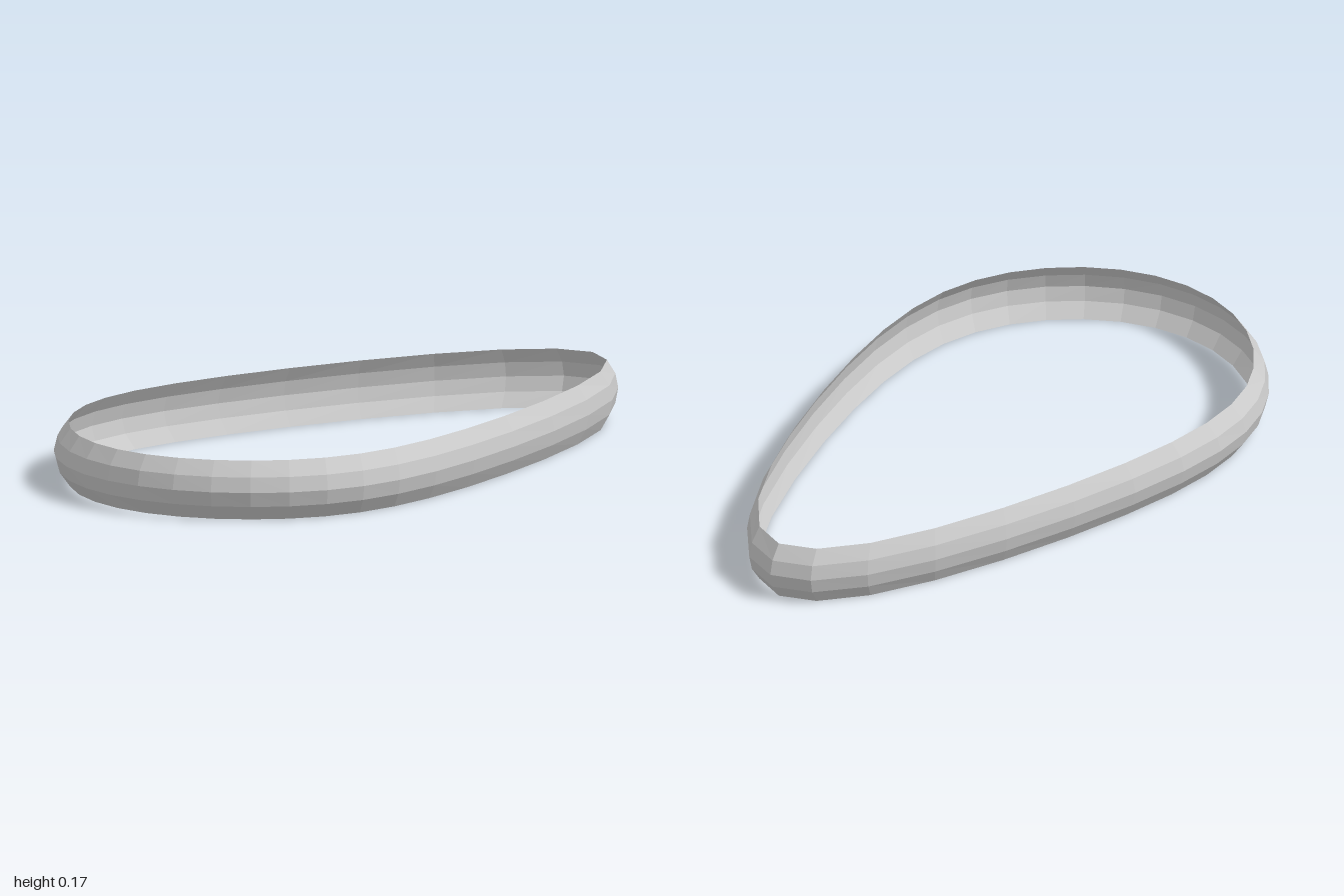
import * as THREE from 'three';

const HEIGHT = 0.175, BULGE = 0.04, HALF_WIDTH = 0.583;

// Egg outline along z: blunt end at +z, pointed end at -z
const eggZ = (a) =>
  0.935 * Math.cos(a) + 0.065 * Math.cos(3 * a) +
  0.38 * Math.sin(a) ** 2 + 0.0075 * (1 - Math.cos(4 * a));

export function createModel() {
  const group = new THREE.Group();
  group.name = 'eggShapedBand';

  // Bowed band profile in four rows, open on the inside
  const profile = [];
  for (let i = 0; i <= 4; i++) {
    const v = i / 4;
    profile.push(new THREE.Vector2(1 - BULGE * (2 * v - 1) ** 2, v * HEIGHT));
  }

  // Revolve into a round hoop, then reshape the circle into the egg outline
  const geometry = new THREE.LatheGeometry(profile, 32);
  const p = geometry.attributes.position;
  for (let i = 0; i < p.count; i++) {
    const angle = Math.atan2(p.getX(i), p.getZ(i));
    const inset = 1 - Math.hypot(p.getX(i), p.getZ(i));
    p.setX(i, (HALF_WIDTH - inset) * Math.sin(angle));
    p.setZ(i, eggZ(angle) * (1 - inset));
  }
  geometry.computeVertexNormals();

  const band = new THREE.Mesh(geometry, new THREE.MeshStandardMaterial({
    color: 0xcccccc, flatShading: true, side: THREE.DoubleSide,
  }));
  band.name = 'band';
  group.add(band);
  return group;
}
